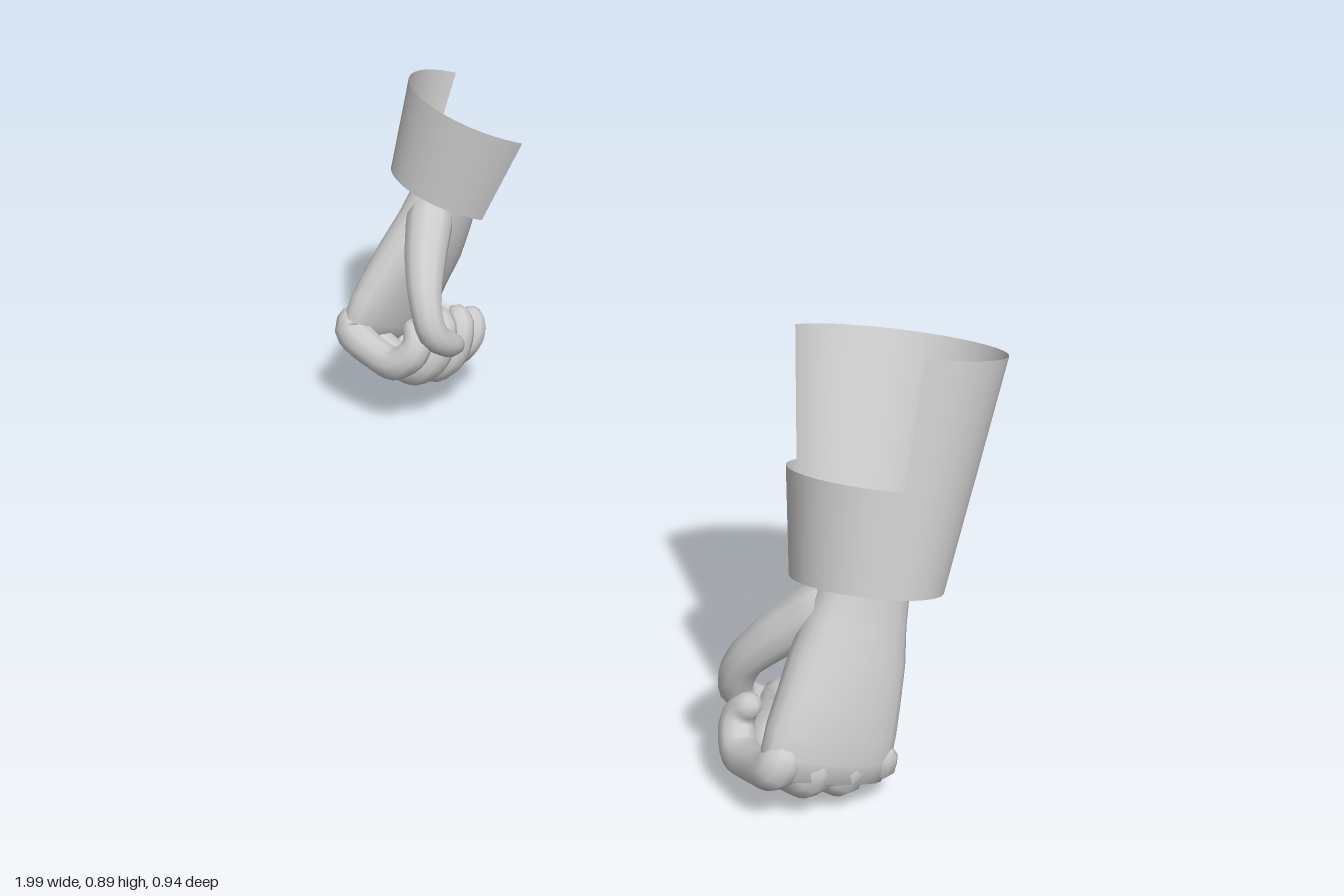
import * as THREE from 'three';
import { mergeVertices } from 'three/addons/utils/BufferGeometryUtils.js';

const V = (x, y, z) => new THREE.Vector3(x, y, z);
const plainGrey = new THREE.MeshStandardMaterial({ color: 0xcccccc, side: THREE.DoubleSide });
plainGrey.name = 'plainGrey';

// Weld seams and smooth the shading
function smooth(geometry) {
  geometry.deleteAttribute('uv');
  geometry.deleteAttribute('normal');
  const g = mergeVertices(geometry, 1e-5);
  g.computeVertexNormals();
  return g;
}

// Rounded, tapering tube through points [x, y, z, radius]
function limb(points) {
  const curve = new THREE.CatmullRomCurve3(points.map(p => V(p[0], p[1], p[2])));
  const rows = 24, sides = 10;
  const g = new THREE.TubeGeometry(curve, rows, 1, sides, false);
  const pos = g.attributes.position, nor = g.attributes.normal;
  for (let i = 0; i < pos.count; i++) {
    const u = Math.floor(i / (sides + 1)) / rows;
    const t = curve.getUtoTmapping(u) * (points.length - 1);
    const k = Math.min(Math.floor(t), points.length - 2);
    const r = THREE.MathUtils.lerp(points[k][3], points[k + 1][3], t - k);
    const edge = Math.min(1, Math.min(u, 1 - u) / 0.13);
    const round = Math.sqrt(1 - (1 - edge) ** 2) * r;
    const p = curve.getPointAt(u);
    pos.setXYZ(i, p.x + nor.getX(i) * round, p.y + nor.getY(i) * round, p.z + nor.getZ(i) * round);
  }
  return smooth(g);
}

// Palm and wrist: sections [y, centre x, centre z, half thickness, half width], wrist first
function palm() {
  const sections = [
    [0.39, 0.0, -0.015, 0.056, 0.088], [0.34, 0.0, -0.015, 0.058, 0.09],
    [0.28, 0.003, -0.012, 0.062, 0.1], [0.21, 0.012, -0.008, 0.064, 0.115],
    [0.14, 0.024, -0.002, 0.06, 0.124], [0.08, 0.032, 0.003, 0.055, 0.132],
    [0.03, 0.036, 0.004, 0.049, 0.134], [-0.01, 0.04, 0.004, 0.038, 0.122],
    [-0.03, 0.04, 0.004, 0.001, 0.04],
  ];
  const sides = 20;
  const g = new THREE.CylinderGeometry(1, 1, 1, sides, sections.length - 1, true);
  const pos = g.attributes.position;
  for (let i = 0; i < pos.count; i++) {
    const row = Math.floor(i / (sides + 1));
    const [y, cx, cz, b, a] = sections[row];
    const sx = pos.getX(i), sz = pos.getZ(i);
    const jag = row === 0 ? 0.02 * sx + 0.015 * Math.cos(3 * Math.atan2(sx, sz)) : 0;
    pos.setXYZ(i, cx + b * Math.sign(sx) * Math.abs(sx) ** 0.85, y + jag, cz + a * sz);
  }
  return smooth(g);
}

// Curled fist: knuckles at the origin, wrist along +y, back of hand +x, thumb side +z
function fistParts() {
  const parts = [['palm', palm()]];
  const names = ['indexFinger', 'middleFinger', 'ringFinger', 'littleFinger'];
  const drop = [0, 0.01, 0.006, -0.022], size = [1, 1.03, 0.98, 0.85], tip = [0.07, 0.1, 0.105, 0.1];
  names.forEach((name, i) => {
    const z = 0.104 - 0.071 * i, s = size[i], y = -drop[i];
    parts.push([name, limb([
      [0.04, 0.06, z * 0.92, 0.036 * s], [0.04, 0.005 + y, z, 0.041 * s],
      [-0.035, -0.02 + y, z, 0.037 * s], [-0.1 * s, -0.02 + y, z, 0.037 * s],
      [-0.135 * s, 0.025 + y, z - 0.003, 0.034 * s], [-0.125 * s, tip[i] - 0.015, z - 0.006, 0.03 * s],
      [-0.085 * s, tip[i] + 0.005, z - 0.008, 0.026 * s],
    ])]);
  });
  parts.push(['thumb', limb([
    [0.005, 0.34, 0.02, 0.045], [-0.035, 0.28, 0.055, 0.052], [-0.085, 0.21, 0.095, 0.046],
    [-0.135, 0.135, 0.118, 0.036], [-0.165, 0.075, 0.098, 0.033],
    [-0.172, 0.055, 0.045, 0.03], [-0.17, 0.055, -0.01, 0.026],
  ])]);
  return parts;
}

// Place a fist from its knuckle and wrist points; mirror it for the right side
function fist(name, knuckle, wrist, forward, mirrored) {
  const group = new THREE.Group();
  group.name = name;
  const up = wrist.clone().sub(knuckle).normalize();
  const f = forward.clone().addScaledVector(up, -forward.dot(up)).normalize();
  const out = up.clone().cross(f).multiplyScalar(mirrored ? -1 : 1);
  const m = new THREE.Matrix4().makeBasis(out, up, f).setPosition(knuckle);
  for (const [part, g] of fistParts()) {
    g.applyMatrix4(m);
    if (mirrored) g.index.array.reverse();
    const mesh = new THREE.Mesh(g, plainGrey);
    mesh.name = part;
    group.add(mesh);
  }
  return group;
}

// Thin conical sleeve between two axis points; angles run from the front towards +x
function sleeve(name, bottom, top, rBottom, rTop, from, to, fullTo) {
  const group = new THREE.Group();
  group.name = name;
  const axis = top.clone().sub(bottom), h = axis.length();
  group.position.copy(bottom);
  group.quaternion.setFromUnitVectors(V(0, 1, 0), axis.normalize());
  const band = (part, a, b, start, end) => {
    const rad = t => THREE.MathUtils.lerp(rBottom, rTop, t);
    const g = new THREE.CylinderGeometry(rad(b), rad(a), h * (b - a), 32, 1, true,
      THREE.MathUtils.degToRad(start), THREE.MathUtils.degToRad(end - start));
    g.translate(0, h * (a + b) / 2, 0);
    const mesh = new THREE.Mesh(g, plainGrey);
    mesh.name = part;
    group.add(mesh);
  };
  if (fullTo > 0) band('sleeveBand', 0, fullTo, 0, 360);
  band('sleeveShell', fullTo, 1, from, to);
  return group;
}

export function createModel() {
  const model = new THREE.Group();
  model.name = 'fistsAndCuffs';
  model.add(
    fist('leftFist', V(0.86, 0.085, 0.32), V(0.85, 0.45, 0.2), V(-0.35, 0, 1), false),
    fist('rightFist', V(-0.885, 0.15, -0.19), V(-0.868, 0.49, -0.33), V(0.1, 0, 1), true),
    // Left cuff has its upper front cut away, right cuff is open at the back
    sleeve('leftCuff', V(0.855, 0.41, 0.192), V(0.785, 0.825, 0.057), 0.141, 0.204, 55, 284, 0.45),
    sleeve('rightCuff', V(-0.858, 0.47, -0.345), V(-0.818, 0.66, -0.41), 0.144, 0.178, -110, 75, 0),
  );
  return model;
}
